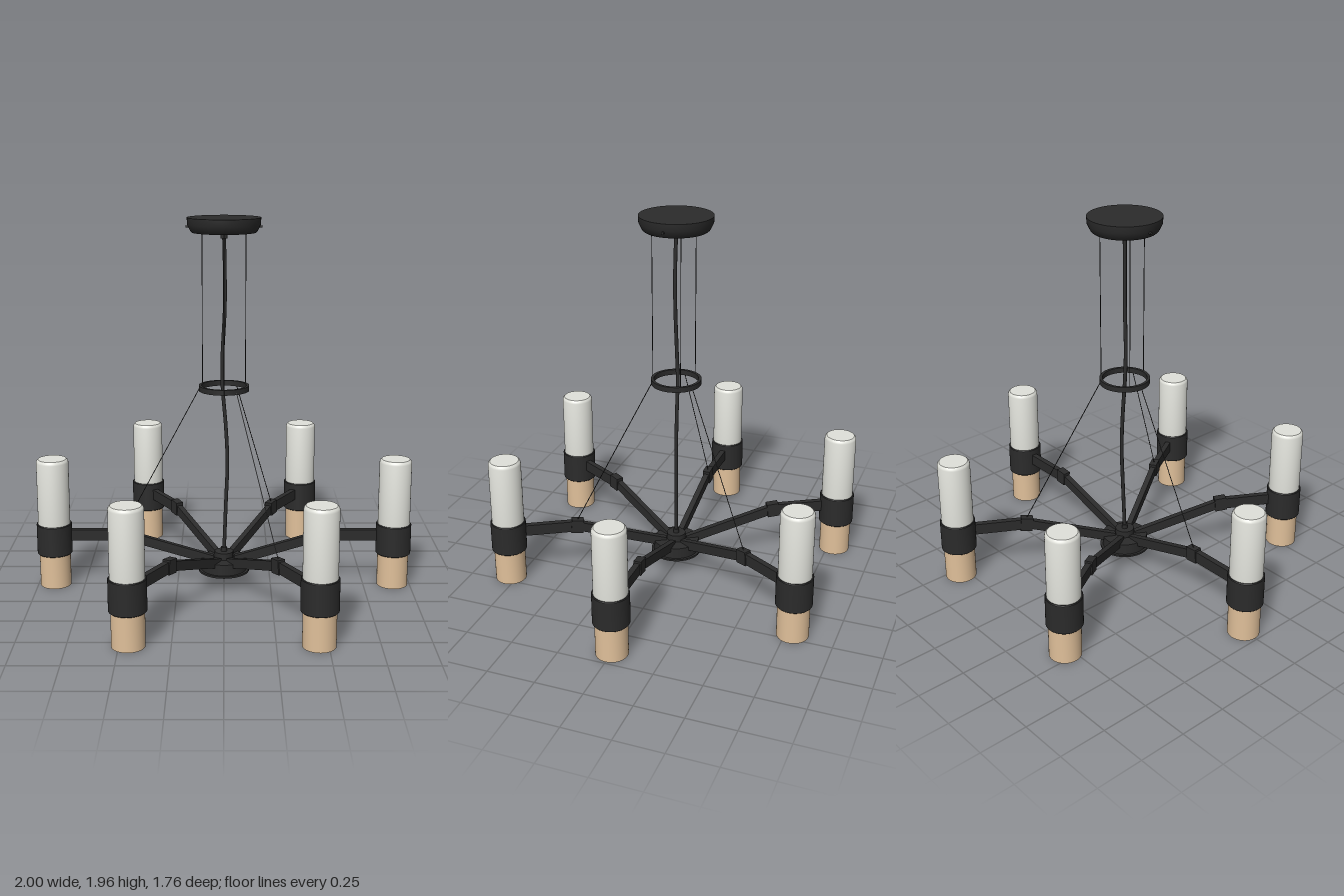
import * as THREE from 'three';
import { toCreasedNormals } from 'three/addons/utils/BufferGeometryUtils.js';

const V = (x, y, z) => new THREE.Vector3(x, y, z);

export function createModel() {
  const model = new THREE.Group();
  model.name = 'chandelier';
  const material = (name, color) => {
    const m = new THREE.MeshStandardMaterial({ color });
    m.name = name;
    return m;
  };
  const black = material('matte black', 0x2b2b2b);
  const glass = material('frosted glass', 0xe0e1da);
  const copper = material('pale copper', 0xe0c09a);

  const add = (parent, name, geometry, mat, x = 0, y = 0, z = 0) => {
    const mesh = new THREE.Mesh(geometry, mat);
    mesh.name = name;
    mesh.position.set(x, y, z);
    parent.add(mesh);
    return mesh;
  };
  // Turned part: [radius, height] points run upward on the outside
  const turned = (points, segments = 48) => toCreasedNormals(
    new THREE.LatheGeometry(points.map(([r, y]) => new THREE.Vector2(r, y)), segments), 0.6);
  // Upright cylinder between two heights
  const post = (parent, name, r, y0, y1, mat = black) =>
    add(parent, name, new THREE.CylinderGeometry(r, r, y1 - y0, 40), mat, 0, (y0 + y1) / 2, 0);
  // Thin straight wire between two points
  const wire = (name, a, b) => {
    const d = b.clone().sub(a);
    const mesh = add(model, name, new THREE.CylinderGeometry(0.0022, 0.0022, d.length(), 6), black);
    mesh.position.copy(a).add(b).multiplyScalar(0.5);
    mesh.quaternion.setFromUnitVectors(V(0, 1, 0), d.normalize());
  };
  // Bar in the x-y plane between two points
  const bar = (parent, name, x0, y0, x1, y1, h, w) => {
    const mesh = add(parent, name, new THREE.BoxGeometry(Math.hypot(x1 - x0, y1 - y0), h, w),
      black, (x0 + x1) / 2, (y0 + y1) / 2, 0);
    mesh.rotation.z = Math.atan2(y1 - y0, x1 - x0);
  };

  // Ceiling canopy with side screws and cord grip
  add(model, 'canopy', turned([[0, 1.885], [0.162, 1.885], [0.17, 1.892], [0.186, 1.925],
    [0.188, 1.96], [0, 1.96]], 64), black);
  for (const side of [-1, 1]) {
    const screw = add(model, 'canopyScrew', new THREE.CylinderGeometry(0.007, 0.007, 0.02, 12),
      black, side * 0.183, 1.915, 0);
    screw.rotation.z = Math.PI / 2;
  }
  post(model, 'cordGrip', 0.018, 1.855, 1.89);

  // Slightly wavy power cord
  const cord = new THREE.CatmullRomCurve3([
    V(0, 1.88, 0), V(0.004, 1.7, 0.004), V(0.004, 1.5, 0.004), V(-0.008, 1.25, 0),
    V(-0.008, 1.1, -0.005), V(0.01, 0.87, -0.006), V(0.018, 0.68, -0.006),
    V(0.01, 0.45, -0.004), V(0, 0.18, 0)]);
  add(model, 'cord', new THREE.TubeGeometry(cord, 60, 0.01, 10), black);

  // Spreader ring
  add(model, 'spreaderRing', turned([[0.116, 1.098], [0.116, 1.07], [0.131, 1.07],
    [0.131, 1.098], [0.116, 1.098]], 64), black);

  // Three hanging wires, and three stays down to every other arm joint
  for (let i = 0; i < 3; i++) {
    const a = Math.PI / 2 + i * Math.PI * 2 / 3;
    const x = Math.cos(a), z = Math.sin(a);
    wire('hangingWire', V(x * 0.13, 1.07, z * 0.13), V(x * 0.13, 1.89, z * 0.13));
    const b = Math.PI + i * Math.PI * 2 / 3;
    const u = Math.cos(b), w = Math.sin(b);
    wire('stayWire', V(u * 0.128, 1.08, w * 0.128), V(u * 0.54, 0.31, w * 0.54));
  }

  // Central hub
  post(model, 'hubPlate', 0.135, 0.08, 0.09);
  post(model, 'hubBody', 0.122, 0.09, 0.15);
  post(model, 'hubCore', 0.05, 0.09, 0.187);
  post(model, 'cordSocket', 0.016, 0.185, 0.21);
  post(model, 'finial', 0.018, 0.042, 0.082);

  // Shared lamp profiles
  const glassGeometry = turned([[0.085, 0.33], [0.085, 0.682], [0.082, 0.692], [0.074, 0.7], [0, 0.7]]);
  const collarGeometry = turned([[0, 0.18], [0.09, 0.18], [0.093, 0.183], [0.093, 0.342],
    [0.09, 0.345], [0.084, 0.345]]);
  const cupGeometry = turned([[0.075, 0.18], [0.075, 0], [0.082, 0], [0.082, 0.185]]);

  // Six arms, each with a lamp
  for (let i = 0; i < 6; i++) {
    const arm = new THREE.Group();
    arm.name = 'arm';
    arm.rotation.y = i * Math.PI / 3;
    model.add(arm);
    bar(arm, 'innerArm', 0.06, 0.138, 0.535, 0.28, 0.05, 0.03);
    bar(arm, 'outerArm', 0.535, 0.28, 0.84, 0.28, 0.06, 0.03);
    bar(arm, 'armJoint', 0.508, 0.277, 0.572, 0.283, 0.075, 0.042);

    const lamp = new THREE.Group();
    lamp.name = 'lamp';
    lamp.position.x = 0.907;
    arm.add(lamp);
    add(lamp, 'glassShade', glassGeometry, glass);
    add(lamp, 'collar', collarGeometry, black);
    add(lamp, 'copperCup', cupGeometry, copper);
  }
  return model;
}
